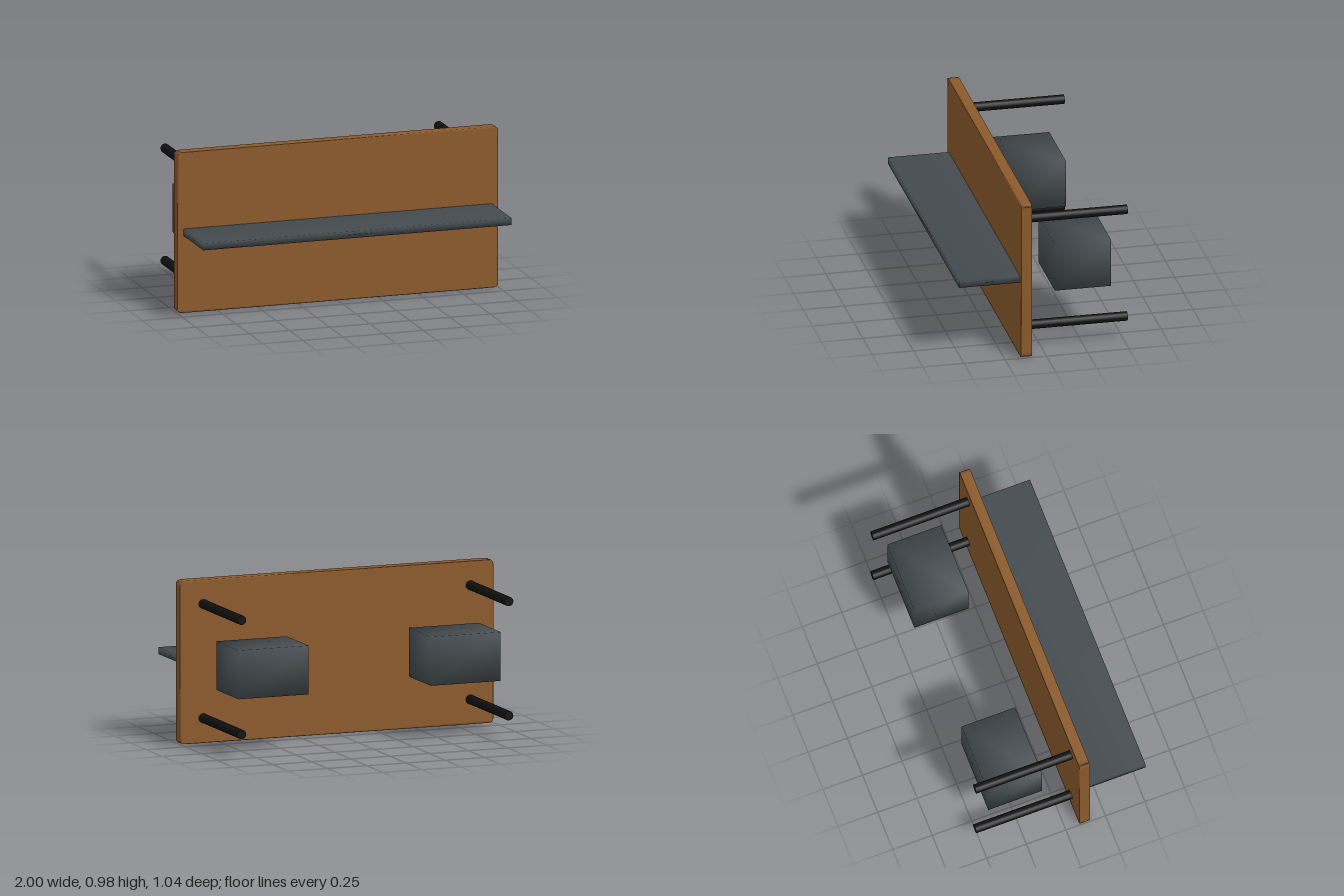
import * as THREE from 'three';
import { mergeVertices } from 'three/addons/utils/BufferGeometryUtils.js';

const wood = new THREE.MeshStandardMaterial({ name: 'brown wood', color: 0x8b5a2b });
const slate = new THREE.MeshStandardMaterial({ name: 'slate grey', color: 0x434a4e });
const black = new THREE.MeshStandardMaterial({ name: 'black', color: 0x111111 });

// Share corners between faces so the shading blends over the edges
function soften(geometry) {
  geometry.deleteAttribute('normal');
  geometry.deleteAttribute('uv');
  const merged = mergeVertices(geometry, 1e-4);
  merged.clearGroups();
  merged.computeVertexNormals();
  return merged;
}

function addMesh(parent, name, geometry, material, x, y, z) {
  const mesh = new THREE.Mesh(geometry, material);
  mesh.name = name;
  mesh.position.set(x, y, z);
  parent.add(mesh);
  return mesh;
}

// Upright panel outline with small rounded corners
function panelShape(w, h, r) {
  const s = new THREE.Shape();
  s.moveTo(-w + r, 0);
  s.lineTo(w - r, 0);
  s.quadraticCurveTo(w, 0, w, r);
  s.lineTo(w, h - r);
  s.quadraticCurveTo(w, h, w - r, h);
  s.lineTo(-w + r, h);
  s.quadraticCurveTo(-w, h, -w, h - r);
  s.lineTo(-w, r);
  s.quadraticCurveTo(-w, 0, -w + r, 0);
  return s;
}

export function createModel() {
  const model = new THREE.Group();
  model.name = 'panelWithShelf';

  // Main wooden panel
  const panel = new THREE.ExtrudeGeometry(panelShape(1, 0.98, 0.03), {
    depth: 0.064, bevelEnabled: false, curveSegments: 3,
  });
  addMesh(model, 'panel', soften(panel), wood, 0, 0, 0.088);

  // Thin shelf across the front
  const shelf = soften(new THREE.BoxGeometry(1.92, 0.042, 0.368));
  addMesh(model, 'shelf', shelf, slate, 0, 0.491, 0.336);

  // Rods and blocks behind the panel, mirrored left and right
  const block = soften(new THREE.BoxGeometry(0.447, 0.293, 0.341));
  const rod = new THREE.CylinderGeometry(0.028, 0.028, 0.608, 16);
  rod.rotateX(Math.PI / 2);
  for (const [side, label] of [[1, 'left'], [-1, 'right']]) {
    addMesh(model, label + 'Block', block, slate, side * 0.613, 0.491, -0.258);
    addMesh(model, label + 'UpperRod', rod, black, side * 0.852, 0.834, -0.216);
    addMesh(model, label + 'LowerRod', rod, black, side * 0.852, 0.149, -0.216);
  }
  return model;
}
